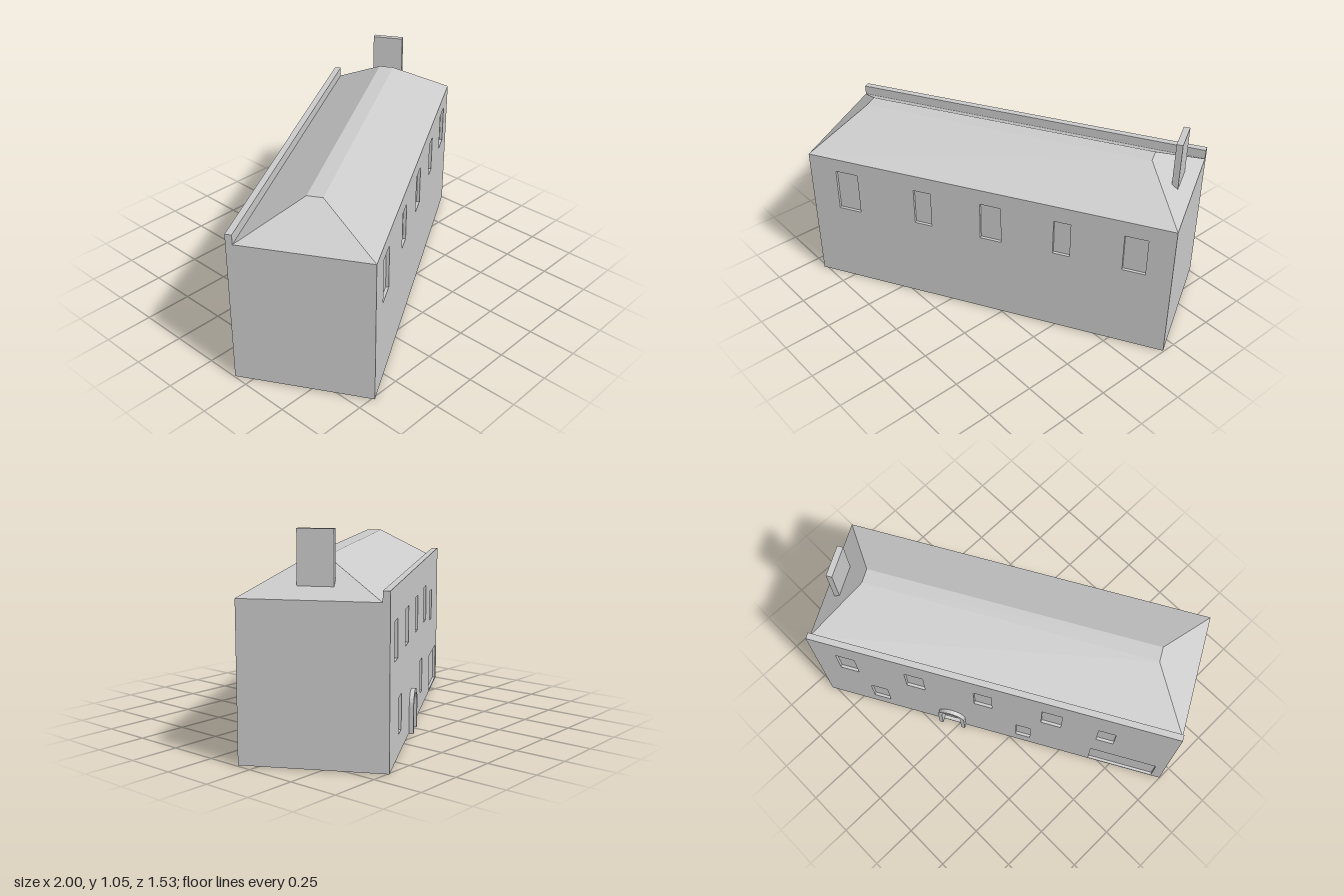
import * as THREE from 'three';

const HALF_L = 0.954, HALF_W = 0.34;   // half length and half width of the plan
const BASE = 0.004, EAVE = 0.753, RIDGE = 0.925, PARAPET = 0.803;
const PARAPET_T = 0.033, RECESS = 0.015;

const material = new THREE.MeshStandardMaterial({
  color: 0xcccccc, flatShading: true, side: THREE.DoubleSide,
});

function add(parent, name, geometry) {
  const mesh = new THREE.Mesh(geometry, material);
  mesh.name = name;
  parent.add(mesh);
  return mesh;
}

// Flat-shaded surface from a list of quads or triangles
function surface(faces) {
  const pos = [];
  for (const f of faces) {
    for (let i = 1; i < f.length - 1; i++) pos.push(...f[0], ...f[i], ...f[i + 1]);
  }
  const g = new THREE.BufferGeometry();
  g.setAttribute('position', new THREE.Float32BufferAttribute(pos, 3));
  g.computeVertexNormals();
  return g;
}

// Counter-clockwise outlines
const rect = (x0, x1, y0, y1) =>
  [[x0, y0], [x1, y0], [x1, y1], [x0, y1]].map(p => new THREE.Vector2(...p));

function arch(cx, r, y0, spring, n = 12) {
  const pts = [new THREE.Vector2(cx - r, y0), new THREE.Vector2(cx + r, y0)];
  for (let i = 0; i <= n; i++) {
    const a = Math.PI * i / n;
    pts.push(new THREE.Vector2(cx + r * Math.cos(a), spring + r * Math.sin(a)));
  }
  return pts;
}

// Thin wall facing +z with recessed openings
function wall(name, halfLength, top, openings = []) {
  const g = new THREE.Group();
  g.name = name;
  const shape = new THREE.Shape(rect(-halfLength, halfLength, BASE, top));
  for (const o of openings) shape.holes.push(new THREE.Path(o.pts));
  add(g, name + 'Face', new THREE.ShapeGeometry(shape));
  for (const { name: part, pts, depth = RECESS } of openings) {
    add(g, part, new THREE.ShapeGeometry(new THREE.Shape(pts))).position.z = -depth;
    add(g, part + 'Reveal', surface(pts.map((p, i) => {
      const q = pts[(i + 1) % pts.length];
      return [[p.x, p.y, 0], [p.x, p.y, -depth], [q.x, q.y, -depth], [q.x, q.y, 0]];
    })));
  }
  return g;
}

export function createModel() {
  const model = new THREE.Group();
  model.name = 'house';
  const house = new THREE.Group();
  house.name = 'building';
  house.rotation.y = Math.atan2(0.492, 0.87);   // the plan stands askew
  model.add(house);

  // Front wall: one row of windows
  const frontWindows = [
    [-0.807, -0.686, 0.45, 0.68], [-0.376, -0.284, 0.465, 0.665], [-0.02, 0.09, 0.462, 0.67],
    [0.36, 0.446, 0.47, 0.665], [0.71, 0.825, 0.465, 0.67],
  ].map(w => ({ name: 'frontWindow', pts: rect(...w) }));
  const front = wall('frontWall', HALF_L, EAVE, frontWindows);
  front.position.z = HALF_W;
  house.add(front);

  // Back wall: two rows of windows, wide gate and arched door
  const backOpenings = [
    [-0.824, -0.725, 0.47, 0.65], [-0.46, -0.361, 0.472, 0.65], [-0.095, 0, 0.47, 0.65],
    [0.263, 0.368, 0.462, 0.652], [0.559, 0.649, 0.424, 0.593],
    [-0.685, -0.593, 0.103, 0.276], [0.13, 0.21, 0.097, 0.277],
  ].map(w => ({ name: 'backWindow', pts: rect(...w) }));
  const doorX = -0.234, doorR = 0.053, spring = 0.14;
  backOpenings.push({ name: 'gate', pts: rect(0.547, 0.905, 0.012, 0.216) });
  backOpenings.push({ name: 'door', pts: arch(doorX, doorR, 0.008, spring), depth: 0.02 });
  const back = wall('backWall', HALF_L, PARAPET, backOpenings);
  back.rotation.y = Math.PI;
  back.position.z = -HALF_W;
  house.add(back);

  // Raised surround of the door
  const outer = arch(doorX, doorR + 0.021, 0, spring);
  const inner = arch(doorX, doorR, 0, spring);
  const frame = new THREE.Shape([...outer.slice(1), outer[0], inner[0], ...inner.slice(1).reverse()]);
  add(back, 'doorSurround', new THREE.ExtrudeGeometry(frame, { depth: 0.022, bevelEnabled: false }));

  // End walls
  for (const s of [-1, 1]) {
    const end = wall(s > 0 ? 'leftWall' : 'rightWall', HALF_W, EAVE);
    end.rotation.y = s * Math.PI / 2;
    end.position.x = s * HALF_L;
    house.add(end);
  }

  // Parapet along the back eave
  add(house, 'parapet', new THREE.BoxGeometry(2 * HALF_L, PARAPET - EAVE, PARAPET_T))
    .position.set(0, (PARAPET + EAVE) / 2, -HALF_W + PARAPET_T / 2);

  // Hipped roof with a narrow flat top
  const zb = -HALF_W + PARAPET_T, rx = 0.75;
  const e = [[-HALF_L, EAVE, HALF_W], [HALF_L, EAVE, HALF_W], [HALF_L, EAVE, zb], [-HALF_L, EAVE, zb]];
  const t = [[-rx, RIDGE, 0.052], [rx, RIDGE, 0.052], [rx, RIDGE, -0.025], [-rx, RIDGE, -0.025]];
  const slopes = e.map((p, i) => [p, e[(i + 1) % 4], t[(i + 1) % 4], t[i]]);
  add(house, 'roof', surface([...slopes, t]));

  // Chimney on the left hip
  add(house, 'chimney', new THREE.BoxGeometry(0.031, 0.253, 0.165))
    .position.set(0.876, 0.9285, -0.0035);

  return model;
}
